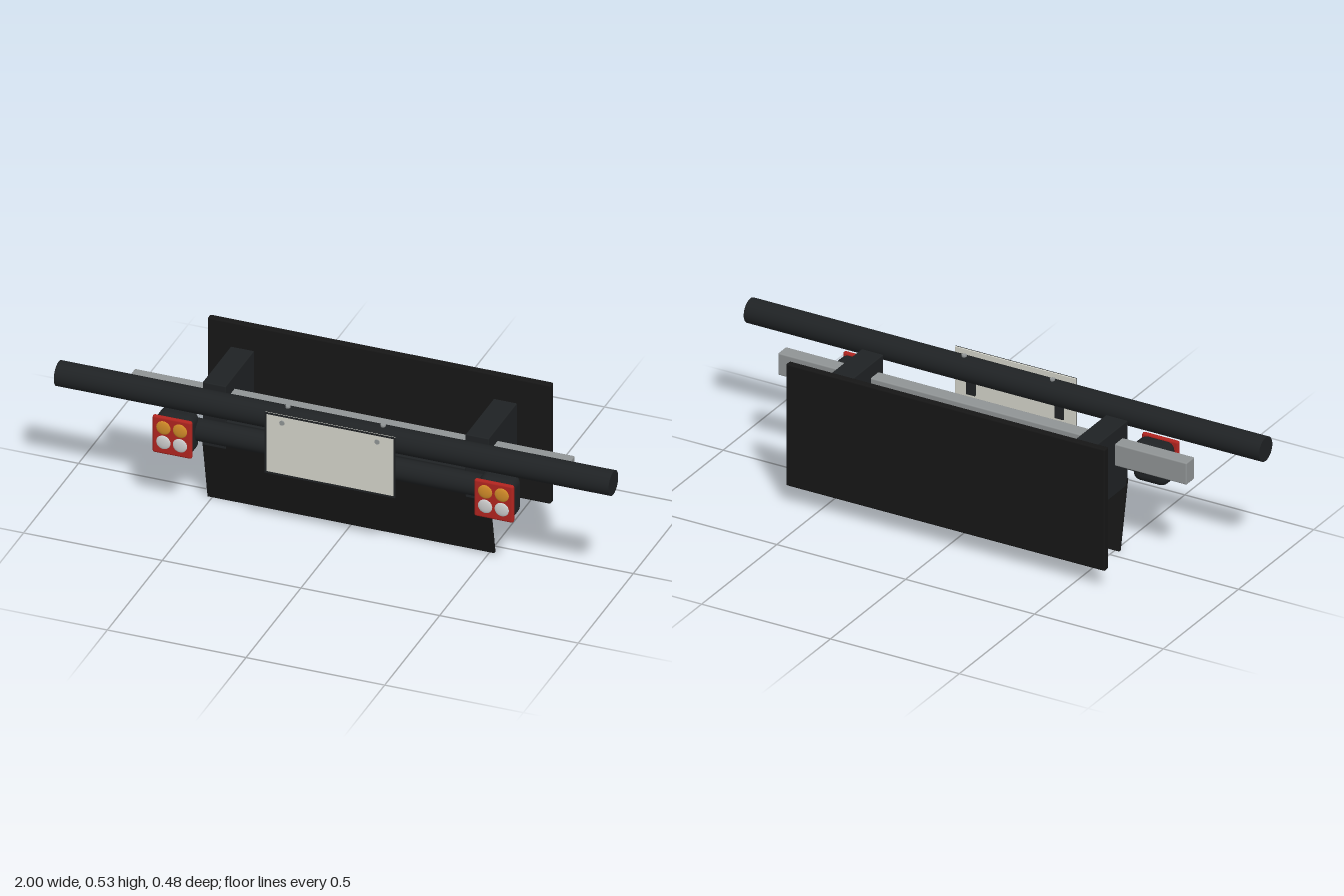
import * as THREE from 'three';
import { RoundedBoxGeometry } from 'three/addons/geometries/RoundedBoxGeometry.js';

const paint = (color) => new THREE.MeshStandardMaterial({ color });
const black = paint(0x1f2224);
const rubber = paint(0x161616);
const steel = paint(0x8f9394);
const red = paint(0xb0241f);
const amber = paint(0xd08a28);
const clear = paint(0xdcdcdc);
const white = paint(0xd2d2c8);

function add(parent, name, geometry, material, x = 0, y = 0, z = 0) {
  const mesh = new THREE.Mesh(geometry, material);
  mesh.name = name;
  mesh.position.set(x, y, z);
  parent.add(mesh);
  return mesh;
}

const box = (w, h, d, r = 0.003) => new RoundedBoxGeometry(w, h, d, 2, r);
const tube = (radius, length) =>
  new THREE.CylinderGeometry(radius, radius, length, 40).rotateZ(Math.PI / 2);

// Tail lamp: rounded housing, red face and a 2 x 2 set of domed lenses
function tailLamp() {
  const lamp = new THREE.Group();
  lamp.name = 'tailLamp';
  add(lamp, 'lampHousing', new RoundedBoxGeometry(0.134, 0.147, 0.084, 5, 0.03), black, 0, 0.304, 0.158);
  add(lamp, 'lampFace', box(0.142, 0.143, 0.017, 0.008), red, 0, 0.304, 0.204);
  const dome = new THREE.SphereGeometry(0.026, 24, 10, 0, Math.PI * 2, 0, Math.PI / 2)
    .rotateX(Math.PI / 2).scale(1, 1, 0.25);
  for (const x of [-0.03, 0.03]) {
    add(lamp, 'amberLens', dome, amber, x, 0.335, 0.212);
    add(lamp, 'clearLens', dome, clear, x, 0.279, 0.212);
  }
  return lamp;
}

// Number plate with thin dark rim, hanger straps and bolts
function numberPlate() {
  const group = new THREE.Group();
  group.name = 'numberPlate';
  const w = 0.235, h = 0.117;
  add(group, 'plate', box(w * 2, h * 2, 0.005, 0.002), white, 0, 0.373, 0.233);
  const rim = new THREE.Shape()
    .moveTo(-w, -h).lineTo(w, -h).lineTo(w, h).lineTo(-w, h).closePath();
  const a = w - 0.006, b = h - 0.006;
  rim.holes.push(new THREE.Path()
    .moveTo(-a, -b).lineTo(-a, b).lineTo(a, b).lineTo(a, -b).closePath());
  add(group, 'plateRim', new THREE.ExtrudeGeometry(rim, { depth: 0.003, bevelEnabled: false }),
    black, 0, 0.373, 0.2345);
  for (const x of [-0.173, 0.17]) {
    add(group, 'plateStrap', box(0.035, 0.13, 0.008, 0.002), black, x, 0.39, 0.226);
    add(group, 'plateBolt', new THREE.CylinderGeometry(0.009, 0.009, 0.004, 16).rotateX(Math.PI / 2),
      steel, x, 0.46, 0.2365);
    add(group, 'tubeBolt', new THREE.CylinderGeometry(0.009, 0.009, 0.016, 16), steel, x, 0.49, 0.181);
  }
  return group;
}

export function createModel() {
  const model = new THREE.Group();
  model.name = 'rearBumper';

  // Tubes and beams running across
  add(model, 'bumperTube', tube(0.0443, 2), black, 0, 0.448, 0.181);
  add(model, 'lampTube', tube(0.039, 1.15), black, 0, 0.306, 0.131);
  add(model, 'crossBar', box(1.586, 0.083, 0.054, 0.005), steel, 0, 0.376, 0.036);
  add(model, 'innerBeam', box(0.9, 0.09, 0.033), black, 0, 0.287, 0.072);

  // Back board
  add(model, 'backBoard', box(1.238, 0.46, 0.027, 0.006), rubber, 0, 0.303, -0.2235);

  // Sloping flap, drawn in side profile and swept across
  const profile = new THREE.Shape()
    .moveTo(-0.045, 0).lineTo(-0.034, 0).lineTo(-0.084, 0.25).lineTo(-0.095, 0.25).closePath();
  const flap = new THREE.ExtrudeGeometry(profile, { depth: 1.034, bevelEnabled: false })
    .translate(0, 0, -0.517).rotateY(Math.PI / 2);
  add(model, 'mudFlap', flap, rubber);

  // Side brackets and lamps
  for (const side of [-1, 1]) {
    add(model, 'frameBracket', box(0.084, 0.243, 0.258), black, side * 0.474, 0.347, -0.0355);
    const lamp = tailLamp();
    lamp.position.x = side * 0.58;
    model.add(lamp);
  }

  model.add(numberPlate());
  return model;
}
